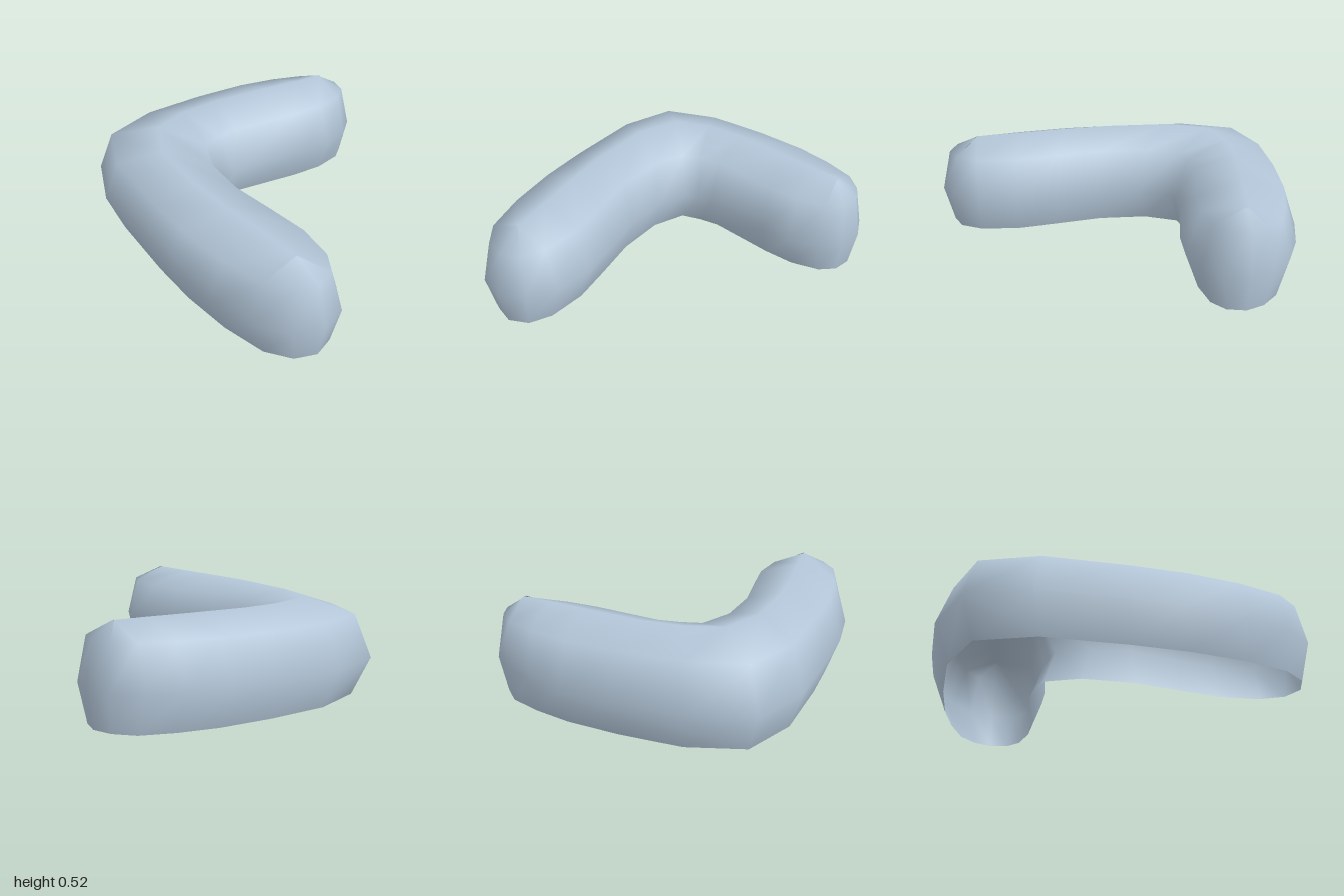
import * as THREE from 'three';
import { mergeVertices } from 'three/addons/utils/BufferGeometryUtils.js';

// Plan of the bent tube: one [outerX, outerZ, innerX, innerZ] per station, back end to left end
const STATIONS = [
  [-0.68, -0.815, -0.41, -0.83],
  [-0.8, -0.695, -0.32, -0.72],
  [-0.89, -0.52, -0.275, -0.56],
  [-0.955, -0.3, -0.285, -0.385],
  [-0.985, -0.02, -0.365, 0.015],
  [-1, 0.365, -0.352, 0.1],
  [-0.9, 0.7, -0.335, 0.185],
  [-0.58, 0.83, -0.17, 0.265],
  [-0.1, 0.855, 0.08, 0.28],
  [0.2, 0.86, 0.33, 0.24],
  [0.51, 0.83, 0.575, 0.21],
  [0.77, 0.755, 0.79, 0.25],
  [0.94, 0.635, 0.945, 0.34],
];
const BACK_TIP = [-0.545, -0.865], BACK_SPINE = [-0.545, -0.7];
const LEFT_TIP = [1, 0.485], LEFT_SPINE = [0.785, 0.495];

// Cross-section levels: height, and how far the outline is pulled in towards the spine
const LEVELS = [[0, 0.25], [0.21, 0], [0.445, 0.25], [0.525, 1]];

function createShellGeometry() {
  const last = STATIONS.length - 1;
  const spine = STATIONS.map(([ox, oz, ix, iz], i) =>
    i === 0 ? BACK_SPINE : i === last ? LEFT_SPINE : [(ox + ix) / 2, (oz + iz) / 2]);
  // Closed outline, each point paired with its point on the top ridge
  const outline = [
    [BACK_TIP, BACK_SPINE],
    ...STATIONS.map((s, i) => [[s[0], s[1]], spine[i]]),
    [LEFT_TIP, LEFT_SPINE],
    ...STATIONS.map((s, i) => [[s[2], s[3]], spine[i]]).reverse(),
  ];
  const n = outline.length;
  const positions = [], index = [];
  for (const [y, inset] of LEVELS) {
    for (const [p, c] of outline) {
      positions.push(p[0] * (1 - inset) + c[0] * inset, y, p[1] * (1 - inset) + c[1] * inset);
    }
  }
  for (let k = 0; k < LEVELS.length - 1; k++) {
    for (let i = 0; i < n; i++) {
      const a = k * n + i, b = k * n + (i + 1) % n;
      index.push(a, b, b + n, a, b + n, a + n);
    }
  }
  const raw = new THREE.BufferGeometry();
  raw.setAttribute('position', new THREE.Float32BufferAttribute(positions, 3));
  raw.setIndex(index);
  // Join both sides along the ridge so the shading stays smooth over the top
  const geometry = mergeVertices(raw, 1e-4);
  geometry.computeVertexNormals();
  return geometry;
}

export function createModel() {
  const group = new THREE.Group();
  group.name = 'bentTube';
  const paleBlue = new THREE.MeshStandardMaterial({ color: 0xb4c7d9, side: THREE.DoubleSide });
  paleBlue.name = 'paleBlue';
  // Hollow shell, open underneath
  const shell = new THREE.Mesh(createShellGeometry(), paleBlue);
  shell.name = 'shell';
  group.add(shell);
  return group;
}
